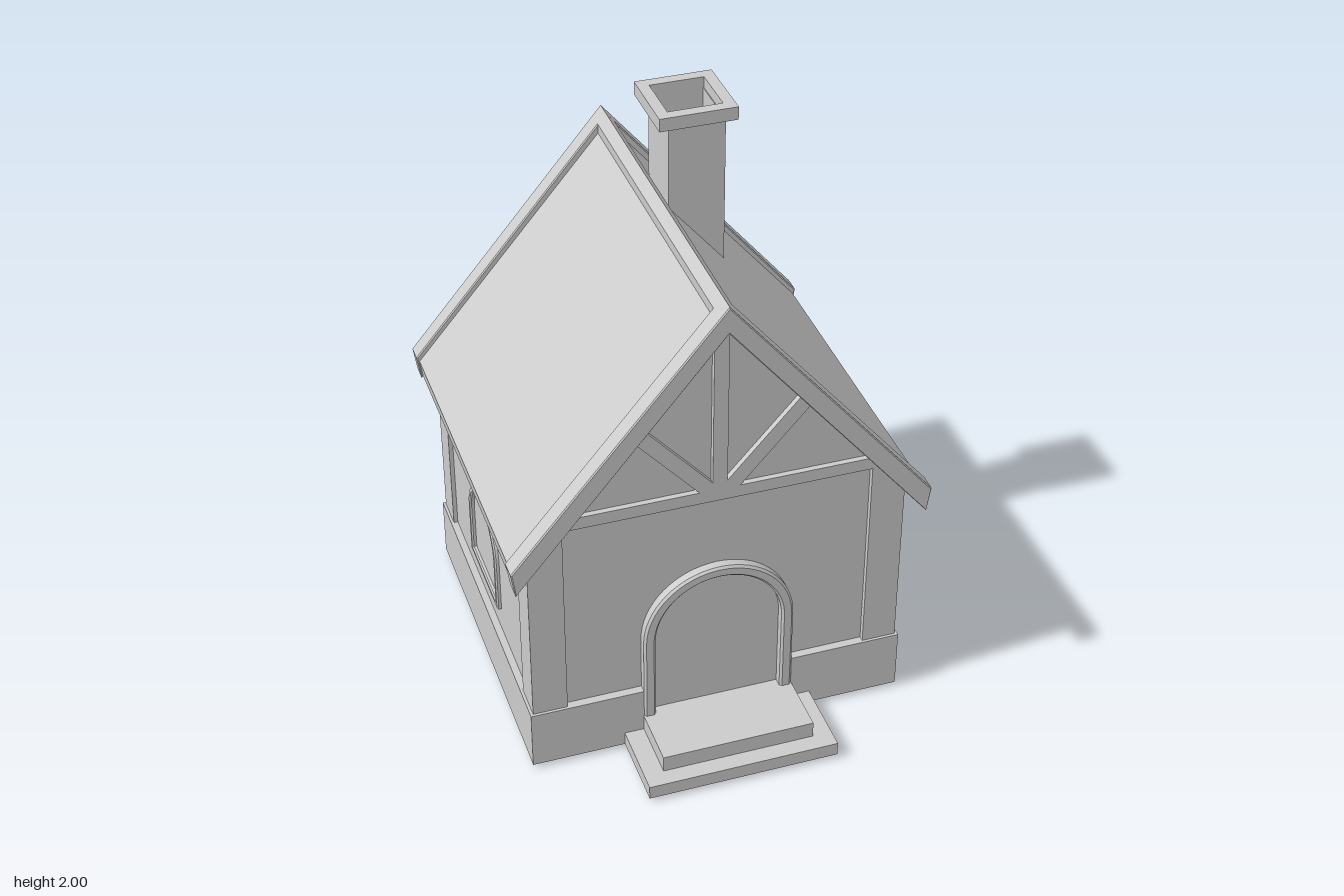
import * as THREE from 'three';
import { toCreasedNormals } from 'three/addons/utils/BufferGeometryUtils.js';

const material = new THREE.MeshStandardMaterial({ color: 0xcccccc });

function add(parent, name, geometry) {
  const mesh = new THREE.Mesh(geometry, material);
  mesh.name = name;
  parent.add(mesh);
  return mesh;
}

// Box given by its limits on each axis
function box(x0, x1, y0, y1, z0, z1) {
  return new THREE.BoxGeometry(x1 - x0, y1 - y0, z1 - z0)
    .translate((x0 + x1) / 2, (y0 + y1) / 2, (z0 + z1) / 2);
}

const polygon = (points) => new THREE.Shape(points.map(([x, y]) => new THREE.Vector2(x, y)));

// Shape extruded from z0 to z1, optionally with a small bevel inside the outline
function slab(shape, z0, z1, bevel = 0) {
  const geometry = new THREE.ExtrudeGeometry(shape, {
    depth: z1 - z0 - 2 * bevel, curveSegments: 16, bevelEnabled: bevel > 0,
    bevelSize: bevel, bevelOffset: -bevel, bevelThickness: bevel, bevelSegments: 1,
  }).translate(0, 0, z0 + bevel);
  return toCreasedNormals(geometry, 0.5);
}

// Mirror an outline of the +x half (listed from ridge to ridge) into a full chevron
function chevron(outer, inner) {
  const flip = (list) => list.map(([x, y]) => [-x, y]);
  return polygon([...flip(outer).reverse(), [0, outer.ridge], ...outer, ...inner, [0, inner.ridge], ...flip(inner).reverse()]);
}

function roofShape(ridge, eaveTop, eaveBottom, underRidge) {
  const outer = [eaveTop], inner = [eaveBottom];
  outer.ridge = ridge;
  inner.ridge = underRidge;
  return chevron(outer, inner);
}

// Square tube standing along y
function squareTube(x0, x1, z0, z1, y0, y1, wall) {
  const rect = (i) => [[x0 + i, -z1 + i], [x1 - i, -z1 + i], [x1 - i, -z0 - i], [x0 + i, -z0 - i]];
  const shape = polygon(rect(0));
  shape.holes.push(polygon(rect(wall)));
  return slab(shape, y0, y1).rotateX(-Math.PI / 2);
}

// Arch-topped outline
function archPath(path, halfWidth, bottom, spring, rise) {
  path.moveTo(-halfWidth, bottom);
  path.lineTo(halfWidth, bottom);
  path.lineTo(halfWidth, spring);
  path.absellipse(0, spring, halfWidth, rise, 0, Math.PI, false, 0);
  path.closePath();
  return path;
}

export function createModel() {
  const house = new THREE.Group();
  house.name = 'cottage';
  const midZ = -0.105;

  // Walls with gables
  add(house, 'walls', slab(polygon([
    [-0.635, 0.02], [0.635, 0.02], [0.635, 0.9], [0, 1.67], [-0.635, 0.9],
  ]), -0.685, 0.475));

  // Stone base: doorway gap at the front, shallow recess at the back
  const base = polygon([
    [-0.66, -0.505], [-0.265, -0.505], [-0.265, -0.46], [0.265, -0.46], [0.265, -0.505], [0.66, -0.505],
    [0.66, 0.715], [0.265, 0.715], [0.265, 0.707], [-0.265, 0.707], [-0.265, 0.715], [-0.66, 0.715],
  ]);
  add(house, 'base', slab(base, 0.015, 0.235).rotateX(-Math.PI / 2));

  // Corner posts, cut to the roof slope
  for (const side of [-1, 1]) {
    const post = polygon([[0.53, 0.2], [0.65, 0.2], [0.65, 0.885], [0.53, 1.03]].map(([x, y]) => [side * x, y]));
    add(house, 'cornerPost', slab(post, 0.37, 0.495));
    add(house, 'cornerPost', slab(post, -0.705, -0.585));
  }

  // Gable timbers on both ends
  for (const end of [1, -1]) {
    const timbers = new THREE.Group();
    timbers.name = 'gableTimbers';
    add(timbers, 'tieBeam', box(-0.53, 0.53, 0.98, 1.025, 0.56, 0.6));
    add(timbers, 'kingPost', box(-0.025, 0.025, 1.02, 1.65, 0.56, 0.6));
    for (const side of [-1, 1]) {
      add(timbers, 'brace', slab(polygon([
        [0.025, 1.02], [0.065, 1.02], [0.3, 1.285], [0.27, 1.33], [0.025, 1.055],
      ].map(([x, y]) => [side * x, y])), 0.56, 0.6));
    }
    timbers.position.z = midZ;
    if (end < 0) timbers.rotation.y = Math.PI;
    house.add(timbers);
  }

  // Roof: sunken covering between raised verges and a ridge
  const roof = new THREE.Group();
  roof.name = 'roof';
  add(roof, 'roofCovering', slab(roofShape(1.725, [0.708, 0.885], [0.698, 0.815], 1.665), -0.74, 0.52));
  const verge = roofShape(1.76, [0.718, 0.9], [0.704, 0.81], 1.663);
  add(roof, 'frontVerge', slab(verge, 0.49, 0.56, 0.004));
  add(roof, 'backVerge', slab(verge, -0.78, -0.712, 0.004));
  add(roof, 'ridge', slab(polygon([[-0.03, 1.66], [0.03, 1.66], [0.03, 1.724], [0, 1.76], [-0.03, 1.724]]), -0.74, 0.52));
  house.add(roof);

  // Hollow chimney with a cap
  const chimney = new THREE.Group();
  chimney.name = 'chimney';
  add(chimney, 'shaft', squareTube(0.065, 0.262, -0.44, -0.23, 1.38, 1.96, 0.01));
  add(chimney, 'cap', squareTube(0.025, 0.295, -0.47, -0.2, 1.953, 2, 0.04));
  house.add(chimney);

  // Arched door surround and sill
  const surround = new THREE.Shape();
  surround.moveTo(-0.265, 0.01);
  surround.lineTo(-0.265, 0.445);
  surround.absarc(0, 0.445, 0.265, Math.PI, 0, true);
  surround.lineTo(0.265, 0.01);
  surround.lineTo(0.223, 0.01);
  surround.lineTo(0.223, 0.445);
  surround.absarc(0, 0.445, 0.223, 0, Math.PI, false);
  surround.lineTo(-0.223, 0.01);
  surround.closePath();
  add(house, 'doorSurround', slab(surround, 0.45, 0.512, 0.008));
  add(house, 'doorSill', box(-0.265, 0.265, 0, 0.06, 0.46, 0.5));

  // Front steps
  add(house, 'lowerStep', box(-0.335, 0.335, 0.015, 0.065, 0.47, 0.78));
  add(house, 'upperStep', box(-0.267, 0.267, 0.06, 0.125, 0.47, 0.72));

  // Arched window frames on both side walls
  for (const side of [-1, 1]) {
    const frame = archPath(new THREE.Shape(), 0.18, 0.33, 0.53, 0.16);
    frame.holes.push(archPath(new THREE.Path(), 0.155, 0.352, 0.53, 0.138));
    const mesh = add(house, 'windowFrame', slab(frame, 0.62, 0.65, 0.005));
    mesh.rotation.y = side * Math.PI / 2;
    mesh.position.z = -0.13;
  }

  return house;
}
